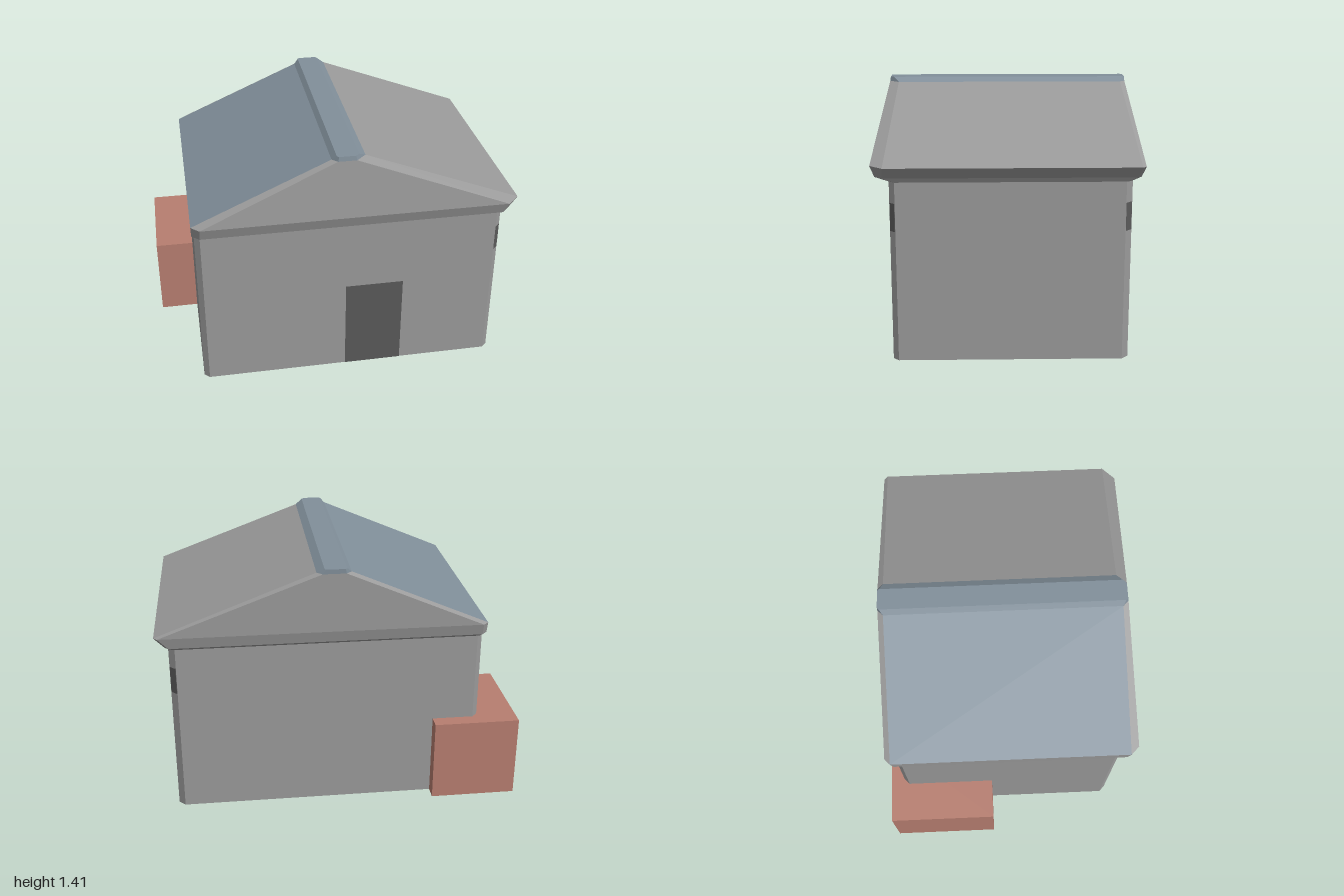
import * as THREE from 'three';

const material = (color, side = THREE.FrontSide) =>
  new THREE.MeshStandardMaterial({ color, flatShading: true, side });
const grey = material(0x9a9a9a);
const greyOpen = material(0x9a9a9a, THREE.DoubleSide);
const dark = material(0x5a5a5a);
const blue = material(0x818f9a);
const red = material(0xb77e70, THREE.DoubleSide);

// Rectangle at height y with cut corners, in order: (-x,+z), (+x,+z), (+x,-z), (-x,-z).
// Sides in order: 0 front, 2 +x, 4 back, 6 -x; odd ones are the corner cuts.
function ring(y, x0, x1, z0, z1, [a, b, c, d]) {
  return [
    [x0 + a, y, z1], [x1 - b, y, z1], [x1, y, z1 - b], [x1, y, z0 + c],
    [x1 - c, y, z0], [x0 + d, y, z0], [x0, y, z0 + d], [x0, y, z1 - a],
  ];
}

const ALL = [0, 1, 2, 3, 4, 5, 6, 7];

// Quads between two rings, for the chosen sides only
function band(lo, hi, sides = ALL) {
  return sides.flatMap((i) => {
    const j = (i + 1) % 8;
    return [lo[i], lo[j], hi[j], lo[i], hi[j], hi[i]];
  });
}

// Flat lid over a ring, facing up or down
function lid(r, up) {
  const tris = [];
  for (let i = 1; i < 7; i++) tris.push(r[0], ...(up ? [r[i], r[i + 1]] : [r[i + 1], r[i]]));
  return tris;
}

function surface(points) {
  const g = new THREE.BufferGeometry();
  g.setAttribute('position', new THREE.Float32BufferAttribute(points.flat(), 3));
  g.computeVertexNormals();
  return g;
}

function addMesh(group, name, geometry, mat) {
  const mesh = new THREE.Mesh(geometry, mat);
  mesh.name = name;
  group.add(mesh);
}

export function createModel() {
  const house = new THREE.Group();
  house.name = 'house';

  // Walls, open underneath, with cut corners
  const wall = (y) => ring(y, -0.78, 0.931, -0.635, 0.62, [0.03, 0.03, 0.035, 0.03]);
  addMesh(house, 'walls', surface(band(wall(0), wall(0.98))), greyOpen);

  // Window block inside the walls, flush with the cut corners
  const block = (y) => ring(y, 0.105, 0.93, -0.634, 0.619, [0, 0.026, 0.031, 0]);
  addMesh(house, 'windowBlock', surface([
    ...band(block(0.71), block(0.86), [0, 1, 2, 3, 4, 6]),
    ...lid(block(0.71), false), ...lid(block(0.86), true),
  ]), dark);

  // Door, flat on the front wall
  addMesh(house, 'door', new THREE.PlaneGeometry(0.33, 0.55).translate(0.215, 0.275, 0.622), dark);

  // Roof: eave rings, slopes and ridge cap
  const soffit = ring(0.972, -0.785, 0.931, -0.635, 0.62, [0.03, 0.03, 0.03, 0.03]);
  const fascia = ring(0.997, -0.793, 0.945, -0.675, 0.692, [0.04, 0.04, 0.02, 0.03]);
  const eave = ring(1.06, -0.795, 1.0, -0.69, 0.713, [0.045, 0.07, 0.02, 0.03]);
  const ridge = ring(1.385, -0.045, 0.14, -0.69, 0.678, [0.03, 0.055, 0.03, 0.03]);
  const crest = ring(1.41, -0.02, 0.1, -0.69, 0.674, [0.01, 0.02, 0.01, 0.01]);
  const roof = new THREE.Group();
  roof.name = 'roof';
  addMesh(roof, 'eaves', surface([...lid(soffit, false), ...band(soffit, fascia), ...band(fascia, eave)]), grey);
  addMesh(roof, 'gablesAndSlope', surface(band(eave, ridge, [0, 1, 2, 3, 4, 5, 7])), grey);
  addMesh(roof, 'blueSlope', surface(band(eave, ridge, [6])), blue);
  addMesh(roof, 'ridgeCap', surface([...band(ridge, crest), ...lid(crest, true)]), blue);
  house.add(roof);

  // Annex wrapped round the back corner, open underneath
  const annex = (y) => ring(y, -1, -0.52, -0.713, -0.107, [0, 0, 0, 0]);
  addMesh(house, 'annex', surface([...band(annex(0), annex(0.47), [0, 2, 4, 6]), ...lid(annex(0.47), true)]), red);

  return house;
}
